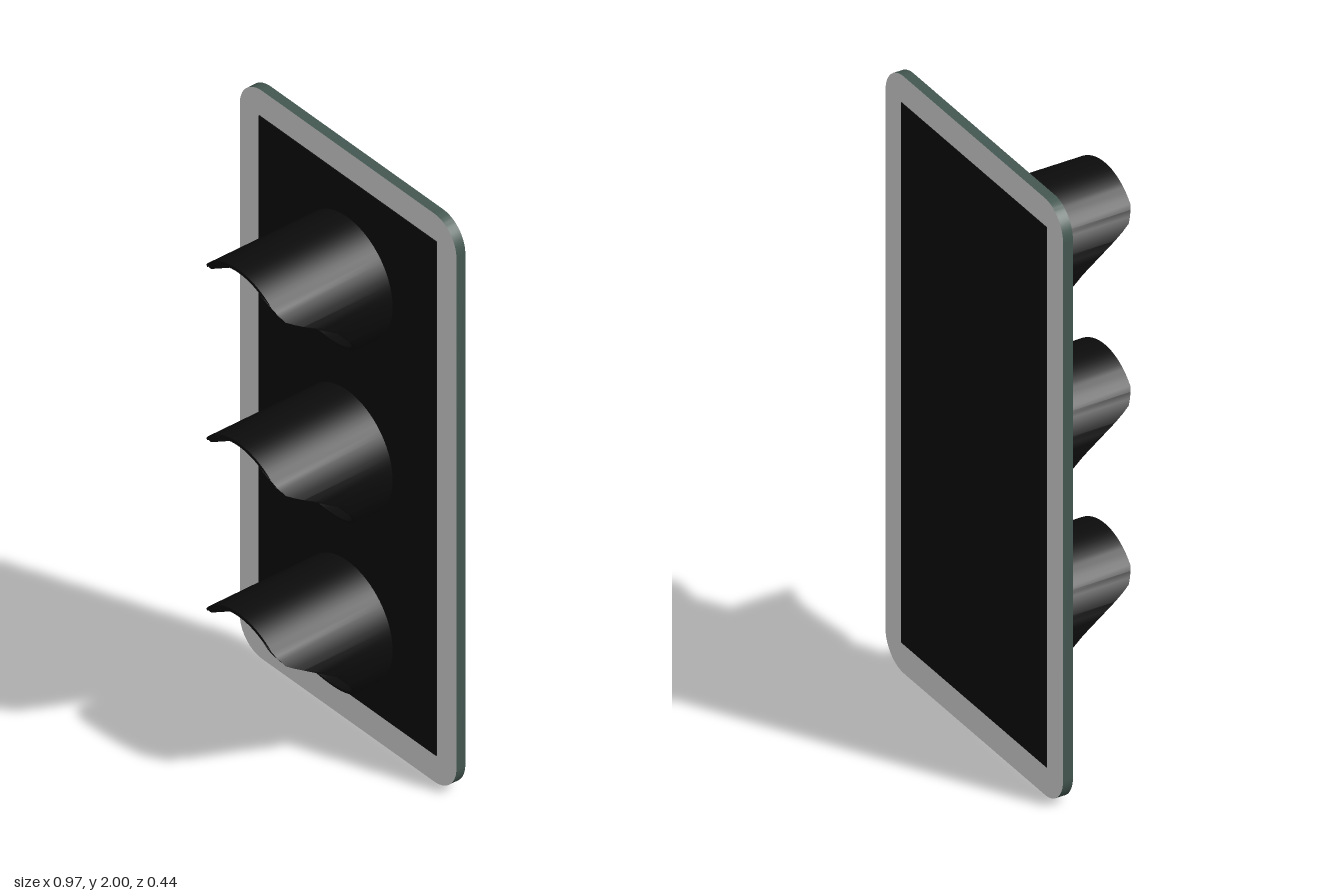
import * as THREE from 'three';
import { toCreasedNormals } from 'three/addons/utils/BufferGeometryUtils.js';

const mat = (name, color) => {
  const m = new THREE.MeshStandardMaterial({ color });
  m.name = name;
  return m;
};

// Front edge of a visor: height above its centre, z position
const VISOR_EDGE = [
  [-0.205, -0.12], [-0.17, -0.105], [-0.09, -0.058], [-0.02, 0], [0.03, 0.055],
  [0.07, 0.137], [0.1, 0.19], [0.14, 0.215], [0.205, 0.22],
];
function edgeZ(y) {
  for (let i = 1; i < VISOR_EDGE.length; i++) {
    const [y0, z0] = VISOR_EDGE[i - 1], [y1, z1] = VISOR_EDGE[i];
    if (y <= y1) return z0 + (z1 - z0) * THREE.MathUtils.clamp((y - y0) / (y1 - y0), 0, 1);
  }
  return 0.22;
}

function roundedRect(w, h, r) {
  const s = new THREE.Shape(), x = w / 2, y = h / 2;
  s.absarc(x - r, y - r, r, 0, Math.PI / 2);
  s.absarc(-x + r, y - r, r, Math.PI / 2, Math.PI);
  s.absarc(-x + r, -y + r, r, Math.PI, Math.PI * 1.5);
  s.absarc(x - r, -y + r, r, Math.PI * 1.5, Math.PI * 2);
  return s;
}

// Tube whose front end is cut back along the visor edge
function visorGeometry() {
  const ring = new THREE.Shape().absarc(0, 0, 0.203, 0, Math.PI * 2);
  ring.holes.push(new THREE.Path().absarc(0, 0, 0.191, 0, Math.PI * 2, true));
  const geo = new THREE.ExtrudeGeometry(ring, { depth: 1, bevelEnabled: false, curveSegments: 36 });
  const p = geo.attributes.position;
  for (let i = 0; i < p.count; i++) {
    p.setZ(i, p.getZ(i) > 0.5 ? edgeZ(p.getY(i)) : -0.184);
  }
  return toCreasedNormals(geo, 0.6);
}

export function createModel() {
  const black = mat('black', 0x0c0c0c);
  const white = mat('border white', 0xe4e4e4);
  const edge = mat('edge grey green', 0x455852);
  const rust = mat('edge rust', 0x6b3322);
  const lampColors = [
    ['red', 0x5c1029, 1.57], ['orange', 0xec6c3e, 0.96], ['green', 0x0f4029, 0.36],
  ];
  const group = new THREE.Group();
  const add = (name, geo, material, x, y, z, parent = group) => {
    const m = new THREE.Mesh(geo, material);
    m.name = name;
    m.position.set(x, y, z);
    parent.add(m);
    return m;
  };

  // Backboard with pale faces and darker rim
  const board = new THREE.ExtrudeGeometry(roundedRect(0.97, 2, 0.1),
    { depth: 0.033, bevelEnabled: false, curveSegments: 10 });
  add('backboard', toCreasedNormals(board, 0.6), [white, edge], 0, 1, -0.218);
  add('bottomEdgeStrip', new THREE.BoxGeometry(0.45, 0.002, 0.031), rust, -0.16, 0, -0.2015);

  // Black panels on both faces
  add('frontPanel', new THREE.BoxGeometry(0.795, 1.81, 0.004), black, 0, 1.003, -0.184);
  add('backPanel', new THREE.BoxGeometry(0.795, 1.81, 0.004), black, 0, 1.003, -0.218);

  // Lamps with their visors
  const visor = visorGeometry();
  const dome = new THREE.SphereGeometry(0.19, 40, 14, 0, Math.PI * 2, 0, Math.PI / 2);
  dome.rotateX(Math.PI / 2);
  dome.scale(1, 1, 0.68);
  for (const [name, color, y] of lampColors) {
    const unit = new THREE.Group();
    unit.name = name + 'Signal';
    unit.position.y = y;
    group.add(unit);
    add(name + 'Lamp', dome, mat(name, color), 0, 0, -0.183, unit);
    add(name + 'Visor', visor, black, 0, 0, 0, unit);
  }
  return group;
}
